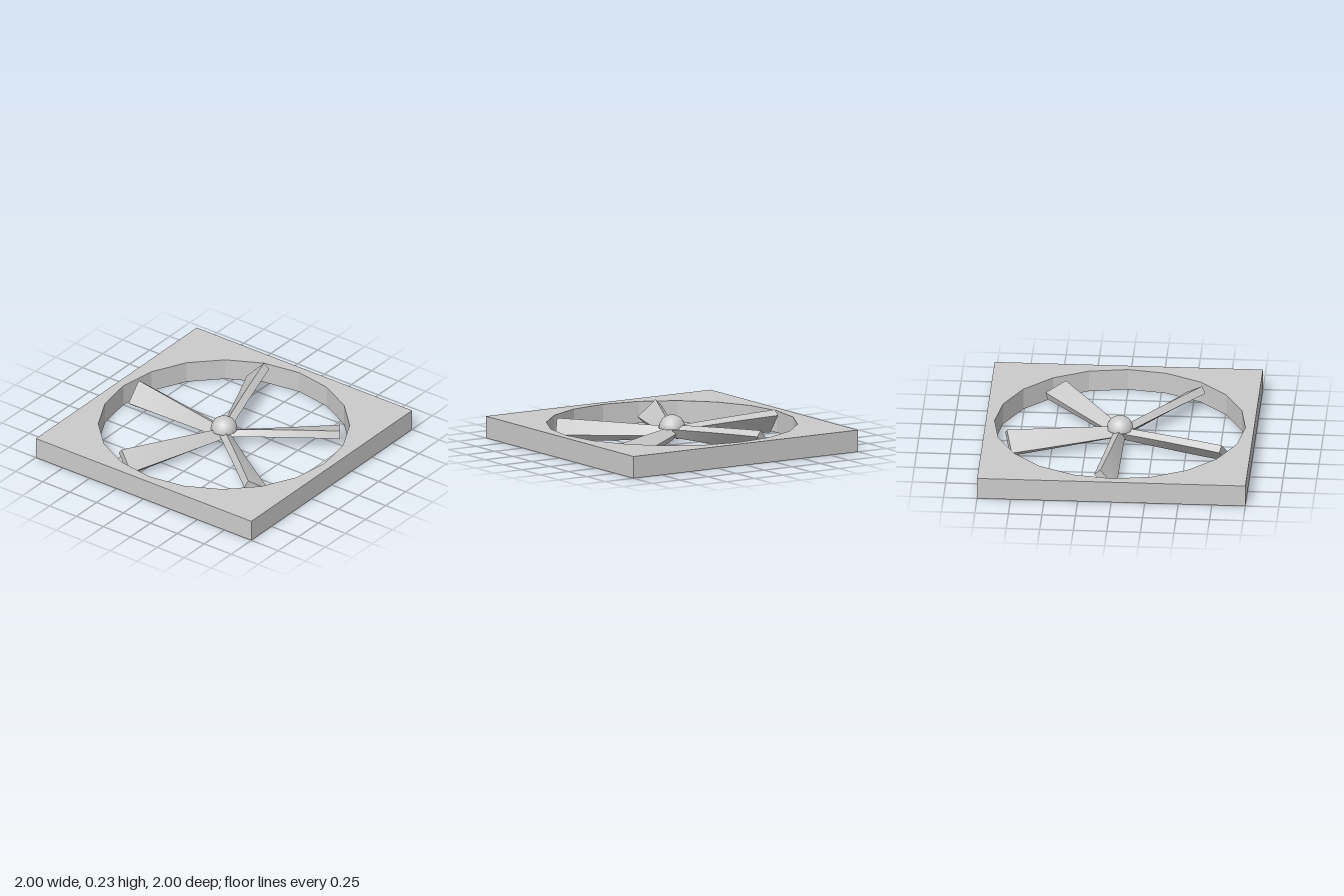
import * as THREE from 'three';

const material = new THREE.MeshStandardMaterial({ color: 0xcccccc });

// Square plate with a 20-sided opening
function makeFrame() {
  const shape = new THREE.Shape([[-1, -1], [1, -1], [1, 1], [-1, 1]].map(p => new THREE.Vector2(...p)));
  const ring = [];
  for (let i = 0; i < 20; i++) {
    const a = -i * Math.PI / 10;
    ring.push(new THREE.Vector2(0.935 * Math.cos(a), 0.935 * Math.sin(a)));
  }
  shape.holes.push(new THREE.Path(ring));
  const geo = new THREE.ExtrudeGeometry(shape, { depth: 0.165, bevelEnabled: false });
  geo.rotateX(-Math.PI / 2);
  const mesh = new THREE.Mesh(geo, material);
  mesh.name = 'frame';
  return mesh;
}

// Tapered, twisted bar running outward along +x
function makeBlade(pitch, tipY, rootY) {
  const lerp = THREE.MathUtils.lerp;
  const geo = new THREE.BoxGeometry(1, 1, 1, 6, 1, 1);
  const pos = geo.attributes.position;
  for (let i = 0; i < pos.count; i++) {
    const k = pos.getX(i) + 0.5;
    const s = -pos.getZ(i) * lerp(0.08, 0.187, k);
    const t = pos.getY(i) * lerp(0.055, 0.06, k);
    const roll = THREE.MathUtils.degToRad(lerp(pitch + 14, pitch, k));
    const u = s * Math.cos(roll) + t * Math.sin(roll);
    const y = -s * Math.sin(roll) + t * Math.cos(roll);
    pos.setXYZ(i, lerp(0.03, 0.862, k), y + lerp(rootY, tipY, k), -u);
  }
  geo.computeVertexNormals();
  return new THREE.Mesh(geo, material);
}

export function createModel() {
  const model = new THREE.Group();
  model.name = 'fan';
  model.add(makeFrame());

  // Domed hub cap
  const hub = new THREE.Mesh(
    new THREE.SphereGeometry(0.1, 20, 4, 0, Math.PI * 2, 0, Math.PI / 2), material);
  hub.position.y = 0.13;
  hub.name = 'hub';
  model.add(hub);

  // Blades: direction, pitch, tip height, root height
  const blades = [
    [36.9, 16, 0.1, 0.09],
    [109.6, 45, 0.123, 0.105],
    [176.4, 51, 0.104, 0.092],
    [248, 43, 0.104, 0.092],
    [323, 32, 0.107, 0.092],
  ];
  blades.forEach(([angle, pitch, tipY, rootY], i) => {
    const blade = makeBlade(pitch, tipY, rootY);
    blade.rotation.y = THREE.MathUtils.degToRad(angle);
    blade.name = 'blade' + (i + 1);
    model.add(blade);
  });
  return model;
}
